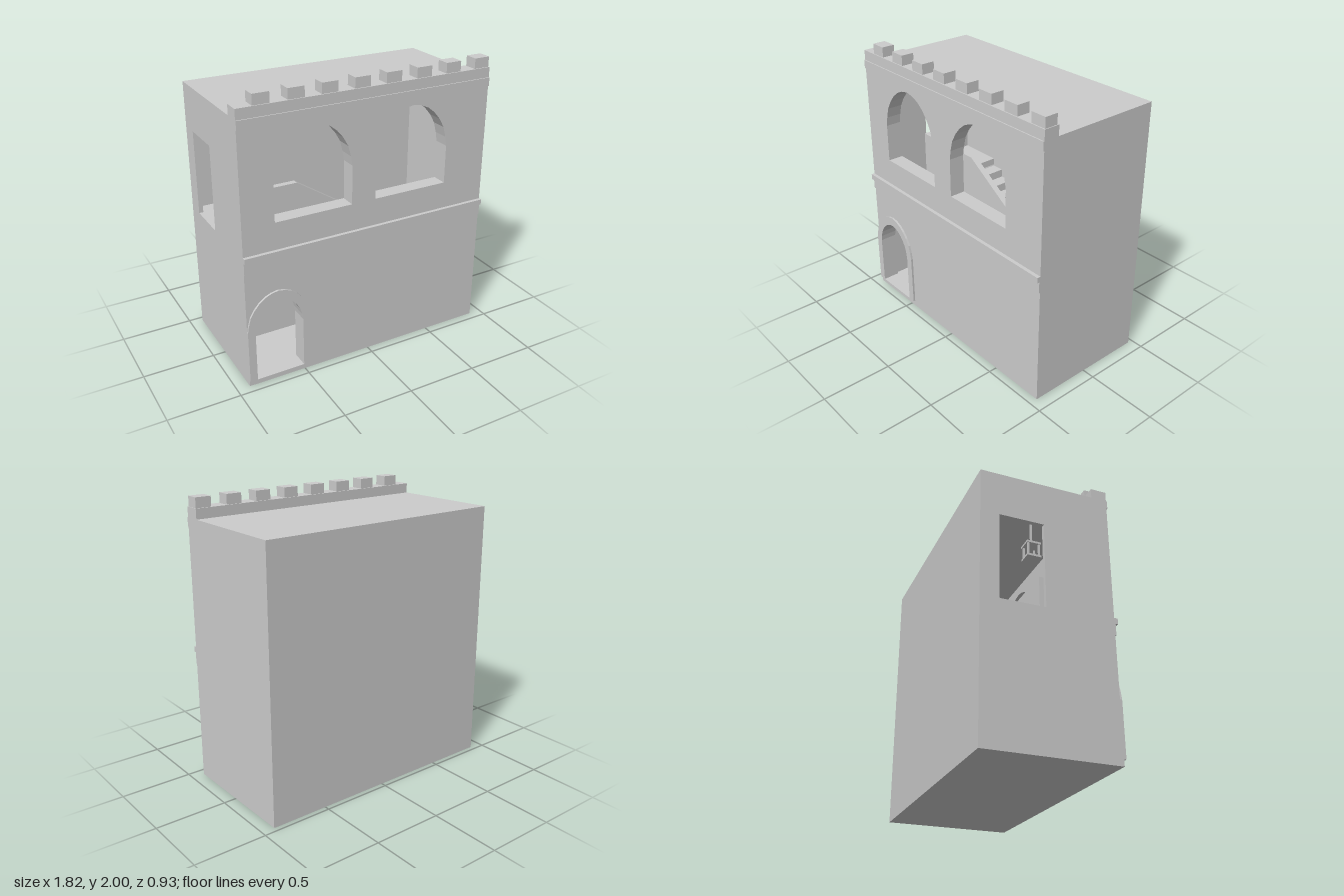
import * as THREE from 'three';

export function createModel() {
  const model = new THREE.Group();
  const mat = new THREE.MeshStandardMaterial({ color: 0xcccccc, flatShading: true, side: THREE.DoubleSide });

  const add = (name, geo, parent = model) => {
    const mesh = new THREE.Mesh(geo, mat);
    mesh.name = name;
    parent.add(mesh);
    return mesh;
  };
  // Box given by its extents on each axis
  const box = (name, x0, x1, y0, y1, z0, z1, parent) => {
    const m = add(name, new THREE.BoxGeometry(x1 - x0, y1 - y0, z1 - z0), parent);
    m.position.set((x0 + x1) / 2, (y0 + y1) / 2, (z0 + z1) / 2);
    return m;
  };
  const extrude = (name, shape, z0, z1) => {
    const m = add(name, new THREE.ExtrudeGeometry(shape, { depth: z1 - z0, bevelEnabled: false }));
    m.position.z = z0;
    return m;
  };
  const poly = (pts) => new THREE.Shape(pts.map(([x, y]) => new THREE.Vector2(x, y)));
  const rect = (x0, x1, y0, y1) => poly([[x0, y0], [x1, y0], [x1, y1], [x0, y1]]);

  // Slightly pointed arch outline: half width w, sill y0, springing ys, apex yt
  const arch = (cx, w, y0, ys, yt) => {
    const side = [[1, 0], [0.96, 0.2], [0.89, 0.42], [0.76, 0.61], [0.6, 0.77], [0.42, 0.89], [0.22, 0.965]];
    const at = (s) => ([u, v]) => [cx + s * u * w, ys + v * (yt - ys)];
    return poly([
      [cx - w, y0], [cx + w, y0],
      ...side.map(at(1)), [cx, yt], ...side.map(at(-1)).reverse(),
    ]);
  };

  const W = 0.91, BACK = -0.465, FRONT = 0.44, INNER = 0.33, T = 0.03;
  const ROOF = 1.86, FLOOR = 0.04, LANDING = 0.95;

  // Front wall with the doorway and two arched windows
  const front = rect(-W, W, 0, 1.93);
  front.holes.push(
    arch(-0.685, 0.172, 0.045, 0.41, 0.615),
    arch(-0.412, 0.275, 1.16, 1.43, 1.76),
    arch(0.315, 0.275, 1.16, 1.43, 1.76),
  );
  extrude('frontWall', front, INNER, FRONT);

  // Raised door surround
  const trim = arch(-0.685, 0.225, 0.045, 0.42, 0.68);
  trim.holes.push(arch(-0.685, 0.172, 0.046, 0.41, 0.615));
  extrude('doorSurround', trim, FRONT, 0.455);

  // Shell: back, sides, roof and floor
  box('backWall', -W, W, 0, ROOF, BACK, BACK + T);
  box('leftWall', W - T, W, 0, ROOF, BACK + T, INNER);
  const side = rect(BACK + T, INNER, 0, ROOF);
  side.holes.push(rect(-0.336, -0.03, 0.95, 1.55));
  const rightWall = extrude('rightWall', side, 0, T);
  rightWall.rotation.y = -Math.PI / 2;
  rightWall.position.x = -W + T;
  box('roof', -W + T, W - T, ROOF - T, ROOF, BACK + T, INNER);
  box('groundFloor', -W + T, W - T, 0, FLOOR, BACK + T, INNER);

  // Mouldings across the front
  box('stringCourse', -W, W, 0.93, 0.97, FRONT, 0.465);
  box('stringCourseBase', -W, W, 0.85, 0.93, FRONT, 0.448);
  box('parapetMoulding', -W, W, 1.8, ROOF, FRONT, 0.448);

  // Merlons
  for (let i = 0; i < 8; i++) {
    const x = -0.8 + i * 0.2275;
    box('merlon', x, x + 0.112, 1.93, 2, 0.34, 0.432);
  }

  // Stair wall: level along the landing, then sloping with the flight
  extrude('stairWall', poly([
    [-W + T, FLOOR], [W - T, FLOOR], [W - T, 0.4], [-0.31, 1.175], [-W + T, 1.175],
  ]), -0.06, -0.016);

  // Landing and stairs along the back wall
  box('landing', -W + T, -0.55, LANDING - 0.05, LANDING, BACK + T, -0.06);
  const steps = 15, run = 1.43 / steps, rise = (LANDING - FLOOR) / steps;
  const flight = [[-0.55, FLOOR]];
  for (let i = 0; i < steps; i++) {
    const y = LANDING - (i + 1) * rise + (i === steps - 1 ? 0.01 : 0);
    flight.push([-0.55 + i * run, y], [-0.55 + (i + 1) * run, y]);
  }
  flight.push([W - T, FLOOR]);
  extrude('stairs', poly(flight), BACK + T, -0.06);

  // Hanging lantern
  const lantern = new THREE.Group();
  lantern.name = 'lantern';
  lantern.position.set(-0.68, 0, -0.016);
  model.add(lantern);
  box('lanternBase', -0.05, 0.05, 1.425, 1.44, -0.05, 0.05, lantern);
  box('lanternCap', -0.05, 0.05, 1.525, 1.54, -0.05, 0.05, lantern);
  for (const x of [-0.038, 0.038]) for (const z of [-0.038, 0.038])
    box('lanternPost', x - 0.006, x + 0.006, 1.44, 1.525, z - 0.006, z + 0.006, lantern);
  box('lanternRod', -0.006, 0.006, 1.54, ROOF - T, -0.006, 0.006, lantern);

  return model;
}
